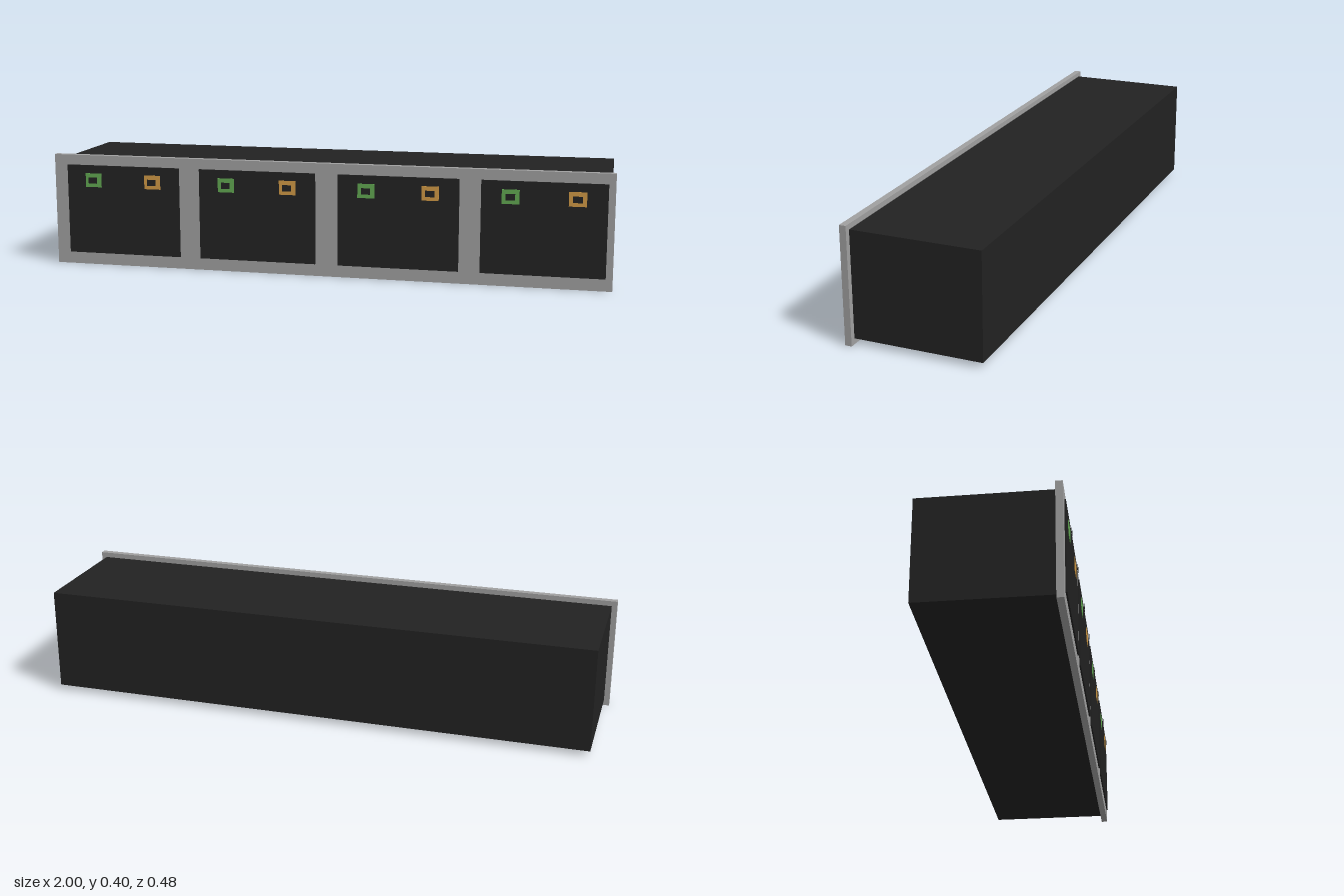
import * as THREE from 'three';

const material = (name, color) => {
  const m = new THREE.MeshStandardMaterial({ color });
  m.name = name;
  return m;
};

export function createModel() {
  const black = material('black', 0x222222);
  const grey = material('grey', 0xa0a0a0);
  const green = material('green', 0x62a852);
  const orange = material('orange', 0xd19a45);

  const model = new THREE.Group();
  model.name = 'indicatorUnit';

  // Box given by its lower and upper corners
  const box = (parent, name, mat, [x0, y0, z0], [x1, y1, z1]) => {
    const mesh = new THREE.Mesh(new THREE.BoxGeometry(x1 - x0, y1 - y0, z1 - z0), mat);
    mesh.position.set((x0 + x1) / 2, (y0 + y1) / 2, (z0 + z1) / 2);
    mesh.name = name;
    parent.add(mesh);
  };

  // Housing and front bezel
  box(model, 'housing', black, [-0.981, 0.02, -0.239], [0.981, 0.384, 0.202]);
  box(model, 'bezel', grey, [-1, 0, 0.202], [1, 0.402, 0.225]);

  // Lamp: coloured plate with a small dark plate floating in front
  const addLamp = (parent, name, mat, x) => {
    const y = 0.312;
    box(parent, name, mat, [x - 0.03, y - 0.025, 0.23], [x + 0.03, y + 0.025, 0.2315]);
    box(parent, name + 'Center', black, [x - 0.016, y - 0.011, 0.2385], [x + 0.016, y + 0.011, 0.239]);
  };

  // Four display panels, each with a green and an orange lamp
  [-0.738, -0.238, 0.267, 0.765].forEach((x, i) => {
    const unit = new THREE.Group();
    unit.name = 'display' + (i + 1);
    unit.position.x = x;
    box(unit, 'panel', black, [-0.212, 0.043, 0.225], [0.212, 0.366, 0.23]);
    addLamp(unit, 'greenLamp', green, -0.112);
    addLamp(unit, 'orangeLamp', orange, 0.112);
    model.add(unit);
  });

  return model;
}
